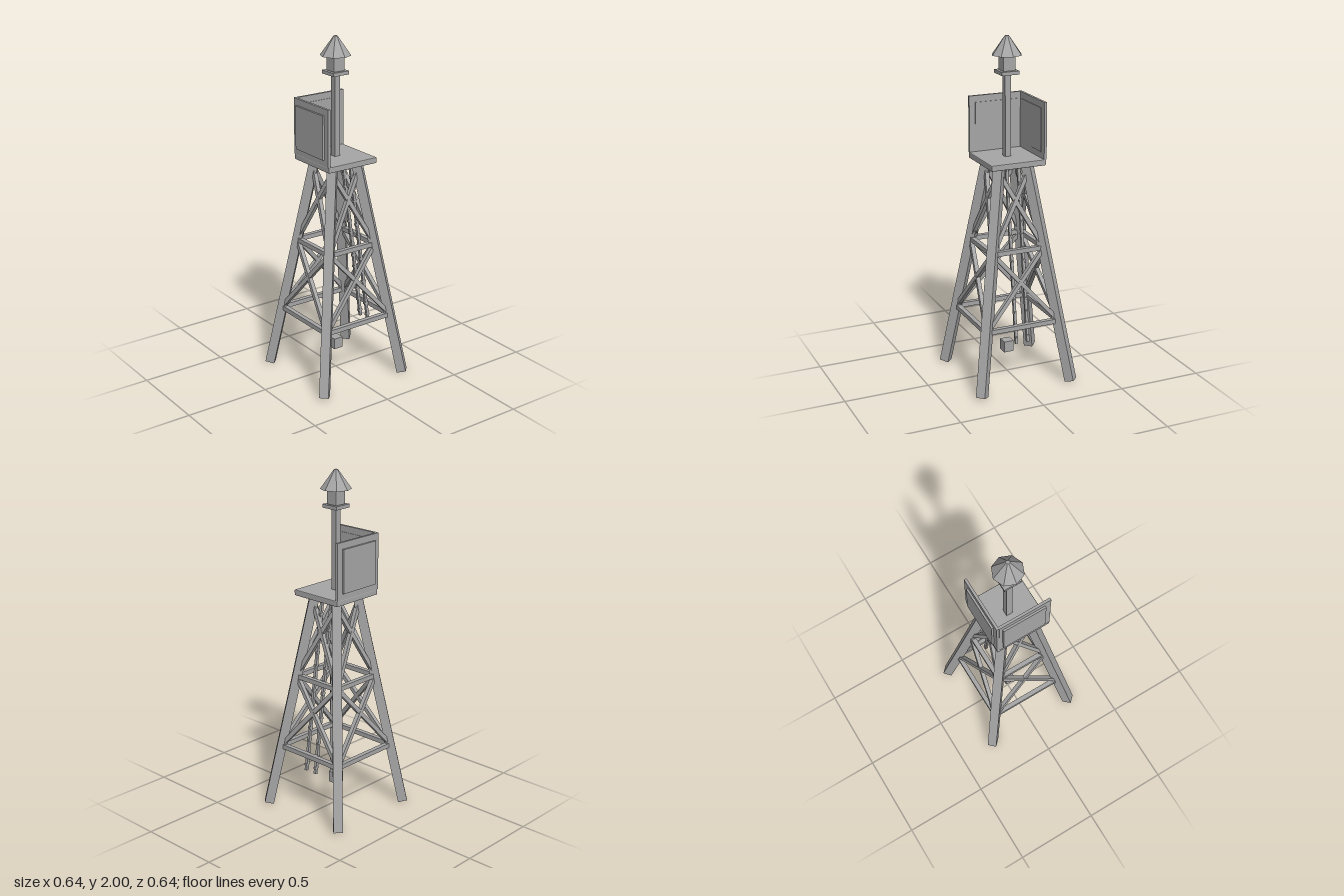
import * as THREE from 'three';
import { RoundedBoxGeometry } from 'three/addons/geometries/RoundedBoxGeometry.js';

const V = (x, y, z) => new THREE.Vector3(x, y, z);

export function createModel() {
  const model = new THREE.Group();
  model.name = 'watchtower';
  const grey = new THREE.MeshStandardMaterial({ color: 0xa6a6a6, flatShading: true });
  grey.name = 'plain grey';

  function add(name, geometry, x, y, z, parent = model) {
    const mesh = new THREE.Mesh(geometry, grey);
    mesh.name = name;
    mesh.position.set(x, y, z);
    parent.add(mesh);
    return mesh;
  }
  const box = (name, w, h, d, x, y, z, parent) =>
    add(name, new THREE.BoxGeometry(w, h, d), x, y, z, parent);

  // Square beam between two points, with one face turned towards "out"
  function beam(name, a, b, size, out, parent = model) {
    const dir = b.clone().sub(a);
    const length = dir.length();
    dir.normalize();
    const side = dir.clone().cross(out).normalize();
    const face = side.clone().cross(dir);
    const mid = a.clone().add(b).multiplyScalar(0.5);
    const mesh = box(name, size, length, size, mid.x, mid.y, mid.z, parent);
    mesh.quaternion.setFromRotationMatrix(new THREE.Matrix4().makeBasis(side, dir, face));
  }

  // Distance of the leg axis from the centre planes at a height
  const spread = (y) => 0.281 - 0.153 * y;

  // Splayed legs
  for (const sx of [-1, 1]) {
    for (const sz of [-1, 1]) {
      const at = (y) => V(sx * spread(y), y, sz * spread(y));
      beam('leg', at(0.006), at(1.295), 0.054, V(sx, 0, sz));
    }
  }

  // Girts and cross braces on each of the four faces
  for (let i = 0; i < 4; i++) {
    const face = new THREE.Group();
    face.name = 'braceFace';
    face.rotation.y = i * Math.PI / 2;
    model.add(face);
    const at = (s, y) => V(s * spread(y), y, spread(y));
    for (const y of [0.37, 0.805]) {
      box('girt', 2 * spread(y) + 0.027, 0.027, 0.027, 0, y, spread(y), face);
    }
    for (const [low, high] of [[0.37, 0.805], [0.805, 1.25]]) {
      for (const s of [-1, 1]) {
        beam('crossBrace', at(s, low), at(-s, high), 0.024, V(0, 0, 1), face);
      }
    }
  }

  // Ladder rails with small rung stubs, leaning along the +x face
  for (const z of [-0.036, 0.036]) {
    const low = V(0.21, 0.265, z), high = V(0.07, 1.295, z);
    beam('ladderRail', low, high, 0.016, V(1, 0, 0));
    for (let i = 0; i < 14; i++) {
      const p = low.clone().lerp(high, (i + 0.5) / 14);
      box('rungStub', 0.028, 0.012, 0.014, p.x, p.y, p.z);
    }
  }

  // Hanging weight
  box('weight', 0.06, 0.066, 0.06, 0, 0.165, 0);

  // Deck with two walls meeting at the back corner
  add('deck', new RoundedBoxGeometry(0.33, 0.034, 0.33, 1, 0.005), 0, 1.304, 0);
  box('backWall', 0.33, 0.325, 0.015, 0, 1.4825, -0.16);
  box('sideWall', 0.015, 0.325, 0.315, -0.16, 1.4825, 0.005);
  box('backPanel', 0.26, 0.25, 0.03, -0.003, 1.482, -0.164);
  box('sidePanel', 0.03, 0.25, 0.26, -0.164, 1.482, -0.003);

  // Mast, lantern and roof
  box('mast', 0.036, 0.48, 0.036, 0, 1.555, 0);
  box('lanternPlate', 0.106, 0.02, 0.106, 0, 1.798, 0);
  add('lantern', new RoundedBoxGeometry(0.074, 0.088, 0.074, 1, 0.006), 0, 1.85, 0);
  add('lanternRoof', new THREE.CylinderGeometry(0.011, 0.087, 0.107, 8), 0, 1.9465, 0);

  return model;
}
